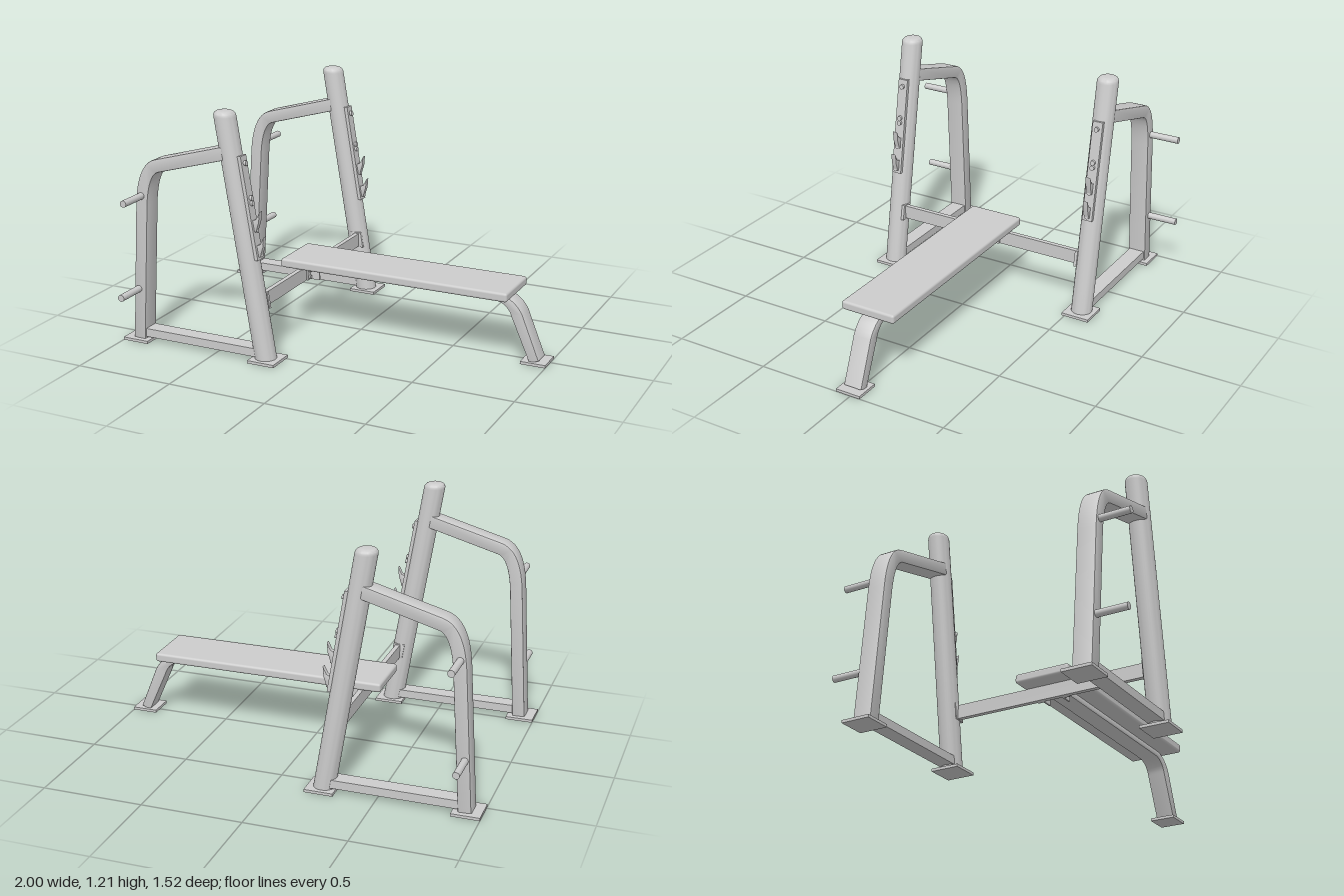
import * as THREE from 'three';
import { toCreasedNormals } from 'three/addons/utils/BufferGeometryUtils.js';
import { RoundedBoxGeometry } from 'three/addons/geometries/RoundedBoxGeometry.js';

const mat = new THREE.MeshStandardMaterial({ color: 0xcccccc });
const V = (x, y) => new THREE.Vector2(x, y);

function add(parent, name, geo, x = 0, y = 0, z = 0) {
  const mesh = new THREE.Mesh(geo, mat);
  mesh.name = name;
  mesh.position.set(x, y, z);
  parent.add(mesh);
  return mesh;
}

const box = (w, h, d) => new THREE.BoxGeometry(w, h, d);

// Extrudes an outline in the xy plane, centred on z = 0, with a small bevel
function slab(points, depth, bevel = 0.006) {
  const geo = new THREE.ExtrudeGeometry(new THREE.Shape(points), {
    depth: depth - 2 * bevel, bevelEnabled: bevel > 0, bevelThickness: bevel,
    bevelSize: bevel, bevelOffset: -bevel, bevelSegments: 2,
  });
  geo.translate(0, 0, bevel - depth / 2);
  return toCreasedNormals(geo, 0.6);
}

// Bent rectangular tube: straight a-b, bend b-c around ctrl, straight c-d
function bentTube([a, b, ctrl, c, d], widths, depth) {
  const bend = new THREE.QuadraticBezierCurve(b, ctrl, c).getPoints(12);
  const path = [a, ...bend, d];
  const left = [], right = [];
  path.forEach((p, i) => {
    const t = path[Math.min(i + 1, path.length - 1)].clone().sub(path[Math.max(i - 1, 0)]).normalize();
    let w = widths[0];
    if (i > 0) w = THREE.MathUtils.lerp(widths[0], widths[1], Math.min(1, (i - 1) / 12));
    if (i === path.length - 1) w = widths[2];
    const n = V(-t.y, t.x).multiplyScalar(w / 2);
    left.push(p.clone().add(n));
    right.push(p.clone().sub(n));
  });
  return slab([...right, ...left.reverse()], depth);
}

// Upright parts are modelled vertically, then sheared back to the post's lean
const LEAN = -0.164;
const lean = (geo) => geo.applyMatrix4(new THREE.Matrix4().set(
  1, LEAN, 0, -0.235, 0, 1, 0, 0, 0, 0, 1, 0, 0, 0, 0, 1));

function boltX(r, len) {
  return new THREE.CylinderGeometry(r, r, len, 12).rotateZ(-Math.PI / 2);
}

function buildSide(s) {
  const side = new THREE.Group();
  side.name = s > 0 ? 'leftRack' : 'rightRack';
  side.position.z = s * 0.558;

  // Leaning round post with a rounded cap
  const profile = [V(0, 0.012), V(0.053, 0.012), V(0.053, 1.178)];
  for (let i = 1; i <= 6; i++) {
    const a = (i / 6) * Math.PI / 2;
    profile.push(V(0.028 + 0.025 * Math.cos(a), 1.18 + 0.025 * Math.sin(a)));
  }
  profile.push(V(0, 1.205));
  add(side, 'post', lean(toCreasedNormals(new THREE.LatheGeometry(profile, 32), 0.6)));

  // Hook plate, bolts and bar hooks
  add(side, 'hookPlate', lean(box(0.03, 0.495, 0.053).translate(0.048, 0.753, 0)));
  for (const y of [0.53, 0.65, 0.775, 0.8, 0.965])
    add(side, 'plateBolt', lean(boltX(0.012, 0.014).translate(0.068, y, 0)));
  for (const y of [0.52, 0.64]) {
    const hook = slab([V(0.05, 0), V(0.07, 0), V(0.094, 0.05), V(0.106, 0.1),
      V(0.082, 0.064), V(0.064, 0.056), V(0.05, 0.075)], 0.026, 0.002);
    add(side, 'barHook', lean(hook.translate(0, y, 0)));
  }

  // Rear bent frame and bottom rail
  add(side, 'rearFrame', bentTube([V(-0.922, 0.012), V(-0.878, 0.7), V(-0.865, 0.885),
    V(-0.785, 0.908), V(-0.41, 1.012)], [0.064, 0.064, 0.064], 0.096));
  add(side, 'bottomRail', box(0.65, 0.042, 0.08), -0.575, 0.045, 0);

  // Floor plates
  add(side, 'rearFoot', box(0.138, 0.014, 0.146), -0.931, 0.007, 0);
  add(side, 'frontFoot', box(0.142, 0.014, 0.146), -0.229, 0.007, 0);

  // Weight storage pegs pointing outward
  for (const [x, y] of [[-0.877, 0.75], [-0.914, 0.273]])
    add(side, 'weightPeg', new THREE.CylinderGeometry(0.017, 0.017, 0.17, 20).rotateX(Math.PI / 2),
      x, y, s * 0.117);

  // Bracket joining the crossbar to the post
  add(side, 'crossbarBracket', slab([V(-0.292, 0.25), V(-0.232, 0.25), V(-0.245, 0.33),
    V(-0.305, 0.33)], 0.016, 0.002), 0, 0, -s * 0.046);
  return side;
}

function buildBench() {
  const bench = new THREE.Group();
  bench.name = 'bench';
  bench.position.z = 0.014;
  add(bench, 'pad', new RoundedBoxGeometry(1.195, 0.045, 0.286, 3, 0.012), 0.228, 0.348, 0);

  // Support beam that bends down into the single leg
  add(bench, 'supportLeg', bentTube([V(-0.27, 0.31), V(0.73, 0.31), V(0.812, 0.308),
    V(0.846, 0.23), V(0.938, 0.012)], [0.032, 0.058, 0.05], 0.096));
  add(bench, 'benchFoot', box(0.126, 0.014, 0.13), 0.937, 0.007, 0);

  // Bolted angle brackets at the crossbar
  for (const s of [-1, 1]) {
    add(bench, 'angleFlange', box(0.01, 0.07, 0.036), -0.252, 0.29, s * 0.066);
    add(bench, 'angleSide', box(0.06, 0.07, 0.008), -0.227, 0.29, s * 0.052);
    for (const y of [0.27, 0.305])
      add(bench, 'angleBolt', boltX(0.009, 0.012), -0.243, y, s * 0.068);
  }
  return bench;
}

export function createModel() {
  const model = new THREE.Group();
  model.name = 'benchPressRack';
  model.add(buildSide(1), buildSide(-1), buildBench());
  add(model, 'crossbar', box(0.024, 0.07, 1.04), -0.268, 0.29, 0);
  return model;
}
